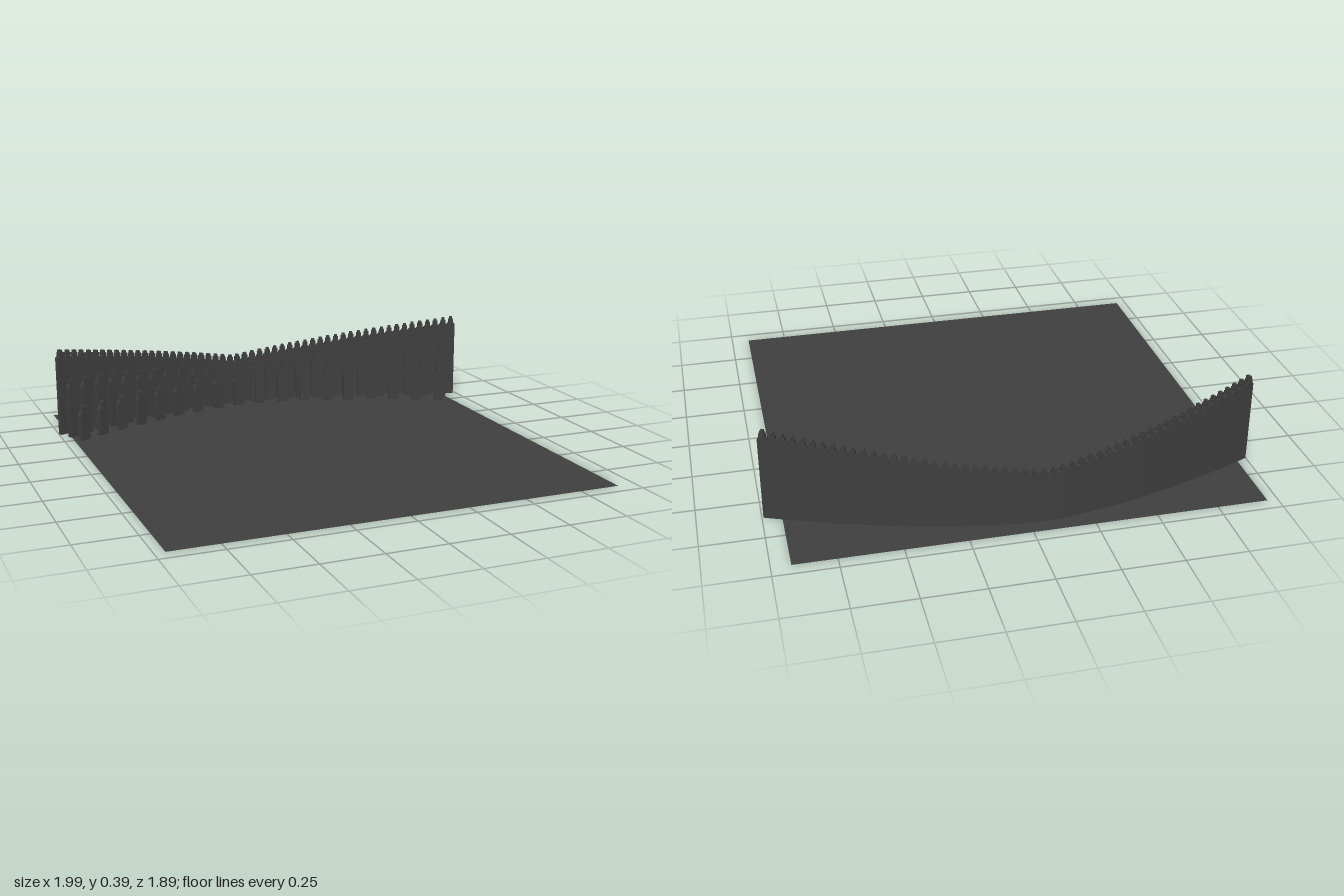
import * as THREE from 'three';

const slate = new THREE.MeshStandardMaterial({ color: 0x3e3e3e, side: THREE.DoubleSide });
slate.name = 'dark slate';

const APEX_X = -0.05;

// Plan curve of one row: lowest z at the apex, sweeping forward to both ends
function rowCurve(apexZ, left, right) {
  const points = [];
  for (let i = 0; i <= 80; i++) {
    const x = left.x + (right.x - left.x) * i / 80;
    const end = x < APEX_X ? left : right;
    const t = (x - APEX_X) / (end.x - APEX_X);
    points.push(new THREE.Vector3(x, 0, apexZ + (end.z - apexZ) * Math.pow(Math.abs(t), 1.6)));
  }
  return new THREE.CatmullRomCurve3(points);
}

// Upright slab with sloped shoulders and a narrow stepped pinnacle
function pinnacleSlab(w, h, depth, shoulder, cap) {
  const half = [
    [w / 2, 0],
    [w / 2, h - shoulder],
    [w * 0.3, h - cap],
    [w * 0.3, h - cap * 0.4],
    [w * 0.17, h - cap * 0.4],
    [w * 0.17, h],
  ];
  const outline = [...half, ...half.slice().reverse().map(([x, y]) => [-x, y])];
  const shape = new THREE.Shape(outline.map(([x, y]) => new THREE.Vector2(x, y)));
  const geometry = new THREE.ExtrudeGeometry(shape, { depth, bevelEnabled: false });
  geometry.translate(0, 0, -depth / 2);
  return geometry;
}

// Row of slabs spaced evenly along a curve, each facing across it
function buildRow(name, curve, count, makeSlab, inset) {
  const row = new THREE.Group();
  row.name = name + 'Row';
  for (let i = 0; i < count; i++) {
    const u = inset ? (i + 0.5) / count : i / (count - 1);
    const p = curve.getPointAt(u);
    const t = curve.getTangentAt(u);
    const slab = new THREE.Mesh(makeSlab(p.x), slate);
    slab.name = name;
    slab.position.copy(p);
    slab.rotation.y = -Math.atan2(t.z, t.x);
    row.add(slab);
  }
  return row;
}

// Heights rise in straight lines away from the low point near the middle
const rise = (x) => Math.abs(x + 0.08) / (x < -0.08 ? 0.9 : 1.06);

export function createModel() {
  const model = new THREE.Group();
  model.name = 'curvedPinnacleWall';

  // Thin square floor
  const floor = new THREE.Mesh(new THREE.PlaneGeometry(1.88, 1.886), slate);
  floor.name = 'floor';
  floor.rotation.x = -Math.PI / 2;
  floor.position.set(-0.017, 0, -0.002);
  model.add(floor);

  // Continuous tall back wall with a serrated top
  const back = rowCurve(-0.873, { x: -0.995, z: -0.617 }, { x: 0.99, z: -0.603 });
  const backCount = 54;
  const backWidth = back.getLength() / backCount + 0.001;
  model.add(buildRow('backWallSlab', back, backCount,
    (x) => pinnacleSlab(backWidth, 0.23 + 0.16 * rise(x), 0.02, 0.036, 0.028), true));

  // Middle row of separate slabs
  const middle = rowCurve(-0.842, { x: -0.942, z: -0.57 }, { x: 0.905, z: -0.573 });
  model.add(buildRow('middleSlab', middle, 26,
    (x) => pinnacleSlab(0.05, 0.195 + 0.075 * rise(x), 0.018, 0.045, 0.022), false));

  // Low front row, more widely spaced
  const front = rowCurve(-0.795, { x: -0.91, z: -0.5 }, { x: 0.86, z: -0.512 });
  model.add(buildRow('frontSlab', front, 18,
    () => pinnacleSlab(0.048, 0.157, 0.02, 0.04, 0.02), false));

  return model;
}
